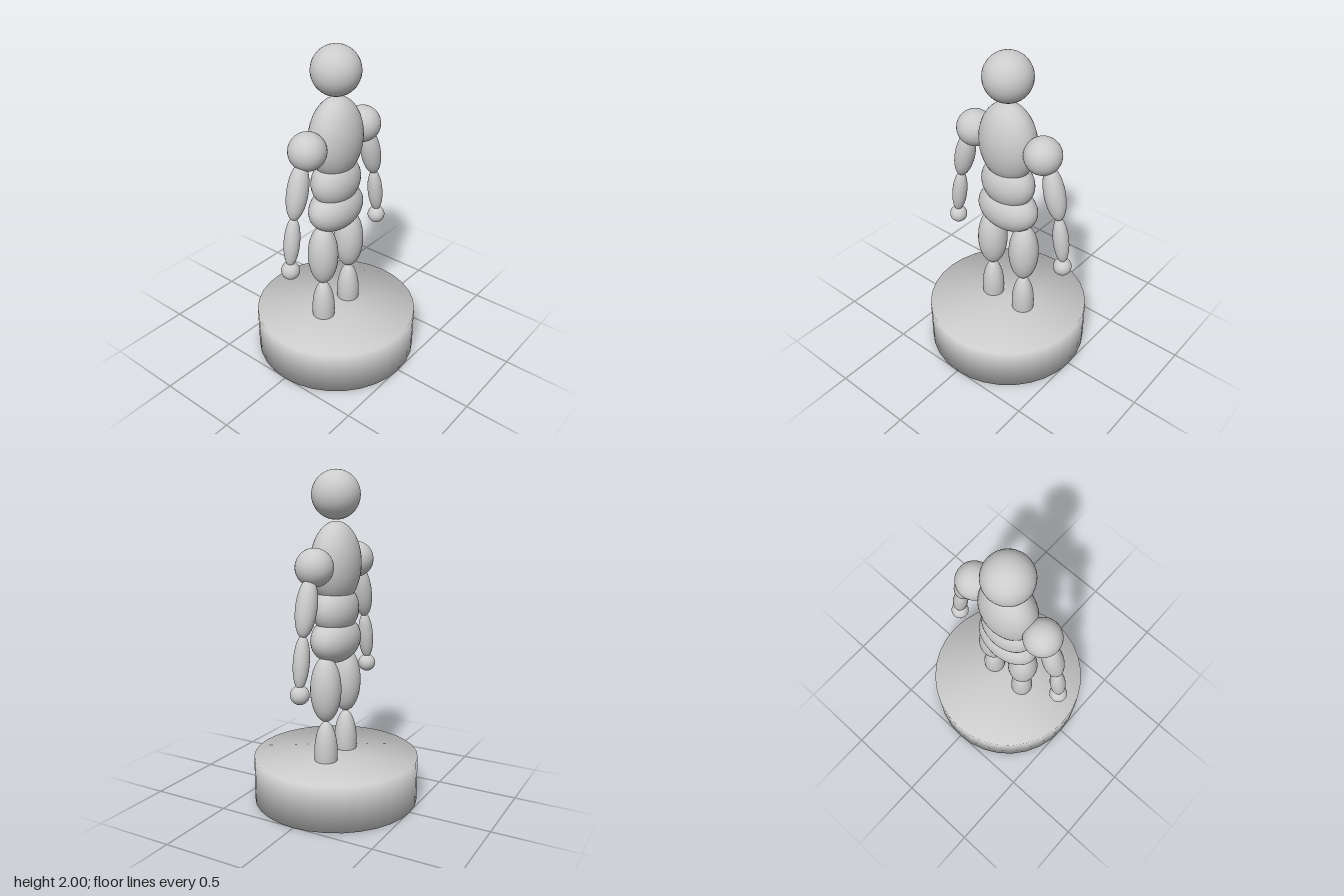
import * as THREE from 'three';
import { mergeVertices } from 'three/addons/utils/BufferGeometryUtils.js';

const material = new THREE.MeshStandardMaterial({ color: 0xcccccc });

export function createModel() {
  const group = new THREE.Group();

  const add = (name, geometry) => {
    const mesh = new THREE.Mesh(geometry, material);
    mesh.name = name;
    group.add(mesh);
    return mesh;
  };

  // Ellipsoid with its own radii, poles along y
  const ellipsoid = (name, x, y, rx, ry, rz) => {
    const geometry = new THREE.SphereGeometry(1, 32, 24).scale(rx, ry, rz);
    const mesh = add(name, geometry);
    mesh.position.set(x, y, 0);
    return mesh;
  };

  // Slim ellipsoid stretched between two points in the xy plane
  const limb = (name, x1, y1, x2, y2, radius) => {
    const dx = x1 - x2, dy = y1 - y2;
    const mesh = ellipsoid(name, (x1 + x2) / 2, (y1 + y2) / 2, radius, Math.hypot(dx, dy) / 2, radius);
    mesh.rotation.z = Math.atan2(-dx, dy);
  };

  // Round base with normals shared across the rim
  const disc = new THREE.CylinderGeometry(0.505, 0.505, 0.28, 32);
  disc.deleteAttribute('normal');
  disc.deleteAttribute('uv');
  const base = mergeVertices(disc);
  base.computeVertexNormals();
  add('base', base).position.y = 0.14;

  // Head and torso
  ellipsoid('head', 0, 1.857, 0.143, 0.143, 0.143);
  ellipsoid('chest', 0, 1.46, 0.186, 0.247, 0.14);
  ellipsoid('waist', 0, 1.19, 0.178, 0.155, 0.125);
  ellipsoid('pelvis', 0, 1.01, 0.205, 0.143, 0.132);

  // Arms and legs, mirrored
  for (const [side, s] of [['left', 1], ['right', -1]]) {
    ellipsoid(`${side}Shoulder`, s * 0.248, 1.463, 0.11, 0.11, 0.11);
    limb(`${side}UpperArm`, s * 0.295, 1.415, s * 0.378, 1.085, 0.062);
    limb(`${side}Forearm`, s * 0.373, 1.105, s * 0.418, 0.8, 0.047);
    ellipsoid(`${side}Hand`, s * 0.415, 0.768, 0.055, 0.055, 0.055);
    ellipsoid(`${side}Thigh`, s * 0.124, 0.725, 0.093, 0.2, 0.093);
    ellipsoid(`${side}Shin`, s * 0.124, 0.325, 0.071, 0.2, 0.071);
  }

  return group;
}
